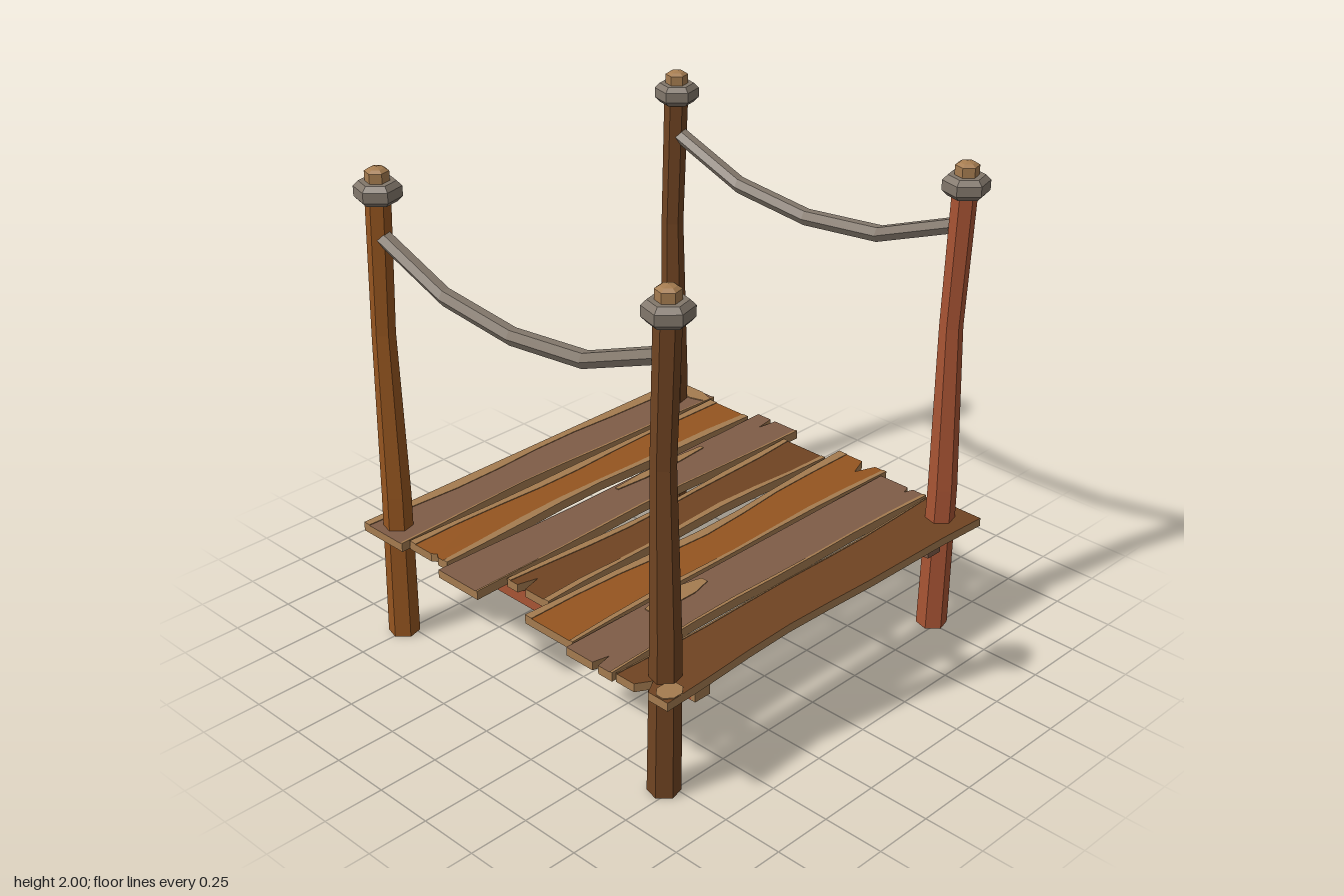
import * as THREE from 'three';

const mat = (name, color) => Object.assign(new THREE.MeshStandardMaterial({ color }), { name });
const M = {
  tan: mat('worn tan wood', 0xa57c50),
  orange: mat('orange brown wood', 0x955520),
  umber: mat('umber wood', 0x7f5c47),
  dark: mat('dark brown wood', 0x704422),
  red: mat('red wood', 0xa85434),
  rope: mat('grey rope', 0x82776b),
};

// Gives every face its own flat normal
function facet(geo) {
  const g = geo.toNonIndexed();
  g.computeVertexNormals();
  return g;
}

function add(parent, name, geo, material) {
  const mesh = new THREE.Mesh(geo, material);
  mesh.name = name;
  parent.add(mesh);
  return mesh;
}

// Extrudes an [x, z] outline upward from height y
function slab(points, y, depth) {
  const shape = new THREE.Shape(points.map(([x, z]) => new THREE.Vector2(x, -z)));
  const geo = new THREE.ExtrudeGeometry(shape, { depth, bevelEnabled: false });
  return geo.rotateX(-Math.PI / 2).translate(0, y, 0);
}

// Six-sided turned part; bends shifts each profile row in x
function hexLathe(profile, bends) {
  const geo = new THREE.LatheGeometry(profile.map(([r, y]) => new THREE.Vector2(r, y)), 6);
  geo.rotateY(0.26);
  const p = geo.attributes.position;
  if (bends) for (let i = 0; i < p.count; i++) p.setX(i, p.getX(i) + bends[i % profile.length]);
  return facet(geo);
}

// Bent post with rope collar and wooden tip
function makePost(name, x, z, material) {
  const post = new THREE.Group();
  post.name = name;
  add(post, 'shaft', hexLathe(
    [[0, 0], [0.063, 0], [0.058, 0.64], [0.046, 1.33], [0.049, 1.89]],
    [0, 0, 0.01, 0, 0.022]), material);
  const collar = add(post, 'collar', hexLathe(
    [[0.045, 1.865], [0.07, 1.865], [0.09, 1.885], [0.09, 1.925], [0.07, 1.945], [0.03, 1.945]]), M.rope);
  const tip = add(post, 'tip', hexLathe([[0.046, 1.93], [0.046, 1.983], [0.03, 1.993], [0, 2]]), M.tan);
  collar.position.x = tip.position.x = 0.025;
  post.position.set(x, 0, z);
  return post;
}

// Sagging six-sided rope
function makeRope(z) {
  const path = [[-0.74, 1.732], [-0.38, 1.595], [-0.02, 1.558], [0.35, 1.595], [0.71, 1.735]];
  const geo = new THREE.CylinderGeometry(0.034, 0.034, 4, 6, 4, true);
  const p = geo.attributes.position;
  for (let i = 0; i < p.count; i++) {
    const [x, y] = path[Math.round(2 - p.getY(i))];
    p.setXYZ(i, x, y + p.getX(i), p.getZ(i) + z);
  }
  return facet(geo);
}

// x, z: extents; waist: how far each side dips in; rim: worn side widths;
// back, front: end notch as [x, half width, depth]; worn: patch as [x, z, half width, half length]
const planks = [
  { color: M.umber, x: [-0.86, -0.625], z: [-0.89, 0.865], waist: [0, 0.025], rim: [0.042, 0.008], worn: [-0.742, -0.85, 0.116, 0.038] },
  { color: M.orange, x: [-0.62, -0.395], z: [-0.86, 0.83], waist: [0.012, 0.025], rim: [0.032, 0.03], front: [-0.47, 0.02, 0.015] },
  { color: M.umber, x: [-0.38, -0.155], z: [-0.91, 0.885], waist: [0.012, 0.018], rim: [0, 0.008], back: [-0.295, 0.013, 0.09], worn: [-0.343, -0.27, 0.02, 0.25] },
  { color: M.dark, x: [-0.145, 0.085], z: [-0.815, 0.745], waist: [0.025, 0.022], rim: [0.025, 0.022], front: [-0.065, 0.022, 0.085] },
  { color: M.orange, x: [0.09, 0.345], z: [-0.9, 0.865], waist: [0.03, 0.014], rim: [0.034, 0.02], back: [0.25, 0.035, 0.09] },
  { color: M.umber, x: [0.35, 0.585], z: [-0.86, 0.9], waist: [0, 0.022], rim: [0, 0.012], back: [0.503, 0.013, 0.04], front: [0.5, 0.015, 0.07], worn: [0.391, 0.38, 0.038, 0.15] },
  { color: M.dark, x: [0.595, 0.85], z: [-0.87, 0.89], waist: [0.018, 0.025], rim: [0.006, 0], front: [0.72, 0.035, 0.06], worn: [0.805, 0.835, 0.042, 0.05] },
];

// One plank side from back to front, wavering inward by waist and offset by inset
function plankSide({ x, z, waist }, side, seed, inset) {
  const dir = side ? -1 : 1;
  return Array.from({ length: 9 }, (_, i) => {
    const t = i / 8;
    const dip = waist[side] * Math.sin(Math.PI * t) * (1 + 0.35 * Math.sin(9 * t + seed));
    const waver = inset * (1 + 0.25 * Math.sin(11 * t + 2 * seed));
    return [x[side] + dir * (dip + waver), z[0] + t * (z[1] - z[0])];
  });
}

// Wedge cut into a plank end, listed from left to right
function notchPoints(notch, end, inward) {
  if (!notch) return [];
  const [x, half, depth] = notch;
  return [[x - half, end], [x, end + inward * depth], [x + half, end]];
}

function makePlank(spec, seed) {
  const plank = new THREE.Group();
  plank.name = 'plank' + (seed + 1);
  const sides = [0, 1].map((side) => plankSide(spec, side, seed + side * 2, 0));
  const outline = [
    ...notchPoints(spec.back, spec.z[0], 1),
    ...sides[1],
    ...notchPoints(spec.front, spec.z[1], -1).reverse(),
    ...sides[0].slice().reverse(),
  ];
  add(plank, 'board', slab(outline, 0.46, 0.035), [spec.color, M.tan]);

  // Worn strips along the sides
  spec.rim.forEach((width, side) => {
    if (!width) return;
    const inner = plankSide(spec, side, seed + side * 2, width).reverse();
    add(plank, 'wornEdge', slab([...sides[side], ...inner], 0.494, 0.004), M.tan);
  });

  // Worn eight-sided patch
  if (spec.worn) {
    const [cx, cz, half, length] = spec.worn;
    const patch = Array.from({ length: 8 }, (_, i) => {
      const a = (i + 0.5) * Math.PI / 4;
      return [cx + 1.08 * half * Math.cos(a), cz + 1.08 * length * Math.sin(a)];
    });
    add(plank, 'wornPatch', slab(patch, 0.494, 0.005), M.tan);
  }
  return plank;
}

export function createModel() {
  const model = new THREE.Group();
  model.name = 'ropeBridgeSection';

  // Deck
  const deck = new THREE.Group();
  deck.name = 'deck';
  planks.forEach((spec, i) => deck.add(makePlank(spec, i)));
  model.add(deck);

  // Crossbeams under the deck
  for (const [name, z, material] of [['frontBeam', 0.675, M.red], ['backBeam', -0.66, M.umber]]) {
    const beam = add(model, name, new THREE.BoxGeometry(1.57, 0.072, 0.075), material);
    beam.position.set(0.005, 0.425, z);
  }
  const beamEnd = add(model, 'frontBeamEnd', new THREE.BoxGeometry(0.02, 0.072, 0.075), M.tan);
  beamEnd.position.set(0.8, 0.425, 0.675);

  // Corner posts
  model.add(
    makePost('frontRightPost', -0.76, 0.78, M.orange),
    makePost('frontLeftPost', 0.722, 0.78, M.dark),
    makePost('backLeftPost', 0.722, -0.765, M.red),
    makePost('backRightPost', -0.76, -0.765, M.dark));

  // Rope handrails
  add(model, 'frontRope', makeRope(0.778), M.rope);
  add(model, 'backRope', makeRope(-0.77), M.rope);
  return model;
}
